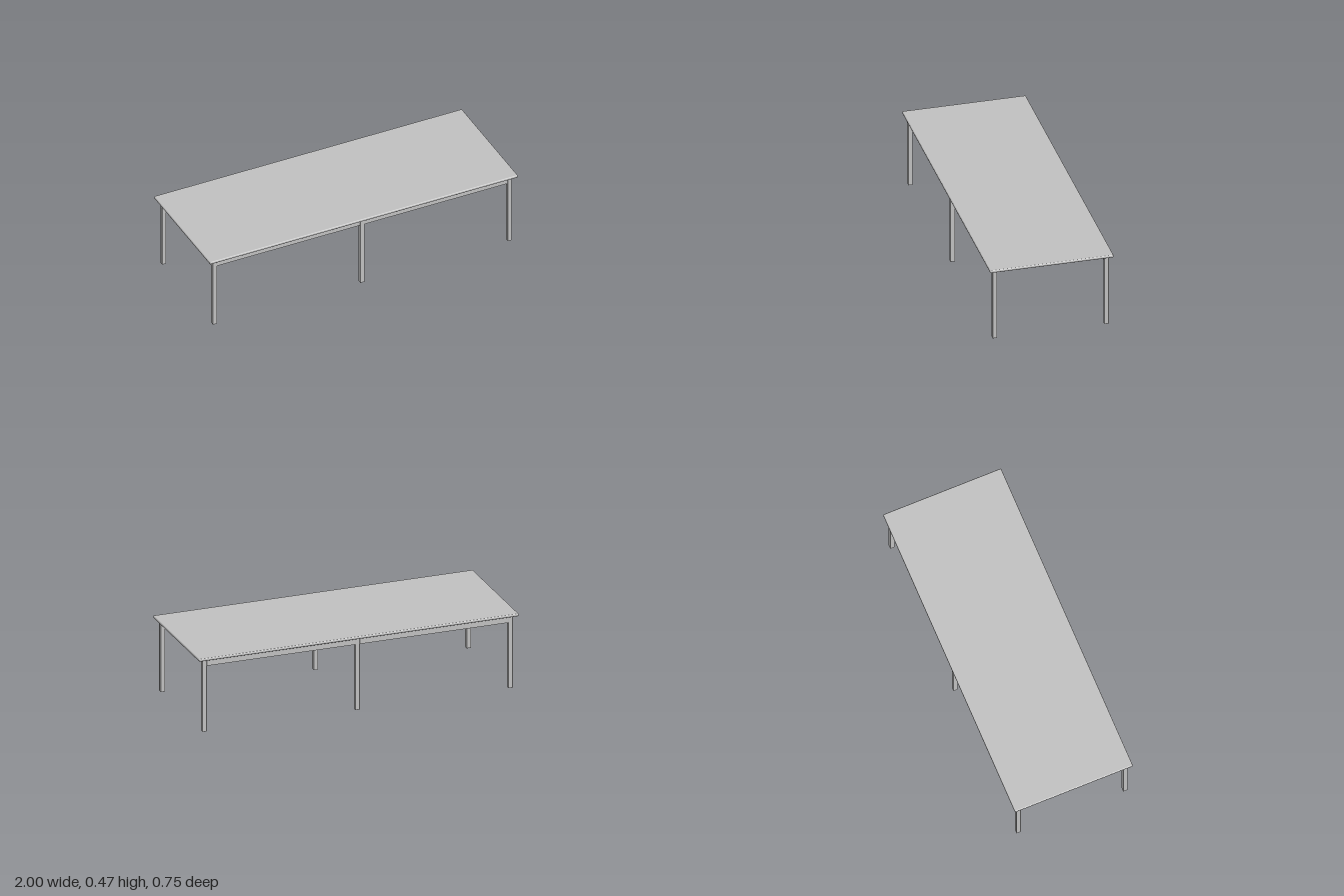
import * as THREE from 'three';
import { RoundedBoxGeometry } from 'three/addons/geometries/RoundedBoxGeometry.js';

export function createModel() {
  const table = new THREE.Group();
  table.name = 'table';
  const grey = new THREE.MeshStandardMaterial({ color: 0xc0c0c0 });
  grey.name = 'light grey';

  const add = (name, geometry, x, y, z) => {
    const mesh = new THREE.Mesh(geometry, grey);
    mesh.name = name;
    mesh.position.set(x, y, z);
    table.add(mesh);
  };

  // Thin top with softened edges
  const topY = 0.469, topThickness = 0.017;
  add('tableTop', new RoundedBoxGeometry(2, topThickness, 0.746, 3, 0.006), 0, topY - topThickness / 2, 0);

  // Three square legs along each long side, joined by rails just under the top
  const legSize = 0.027, legHeight = topY - topThickness, legX = 0.957, legZ = 0.337;
  const legGeometry = new RoundedBoxGeometry(legSize, legHeight, legSize, 2, 0.002);
  const railGeometry = new THREE.BoxGeometry(legX - legSize + 0.004, 0.033, 0.02);

  for (const [side, z] of [['front', legZ], ['back', -legZ]]) {
    for (const [place, x] of [['Left', legX], ['Middle', 0], ['Right', -legX]]) {
      add(`${side}${place}Leg`, legGeometry, x, legHeight / 2, z);
    }
    for (const [place, x] of [['Left', legX / 2], ['Right', -legX / 2]]) {
      add(`${side}${place}Rail`, railGeometry, x, 0.427, z);
    }
  }
  return table;
}
